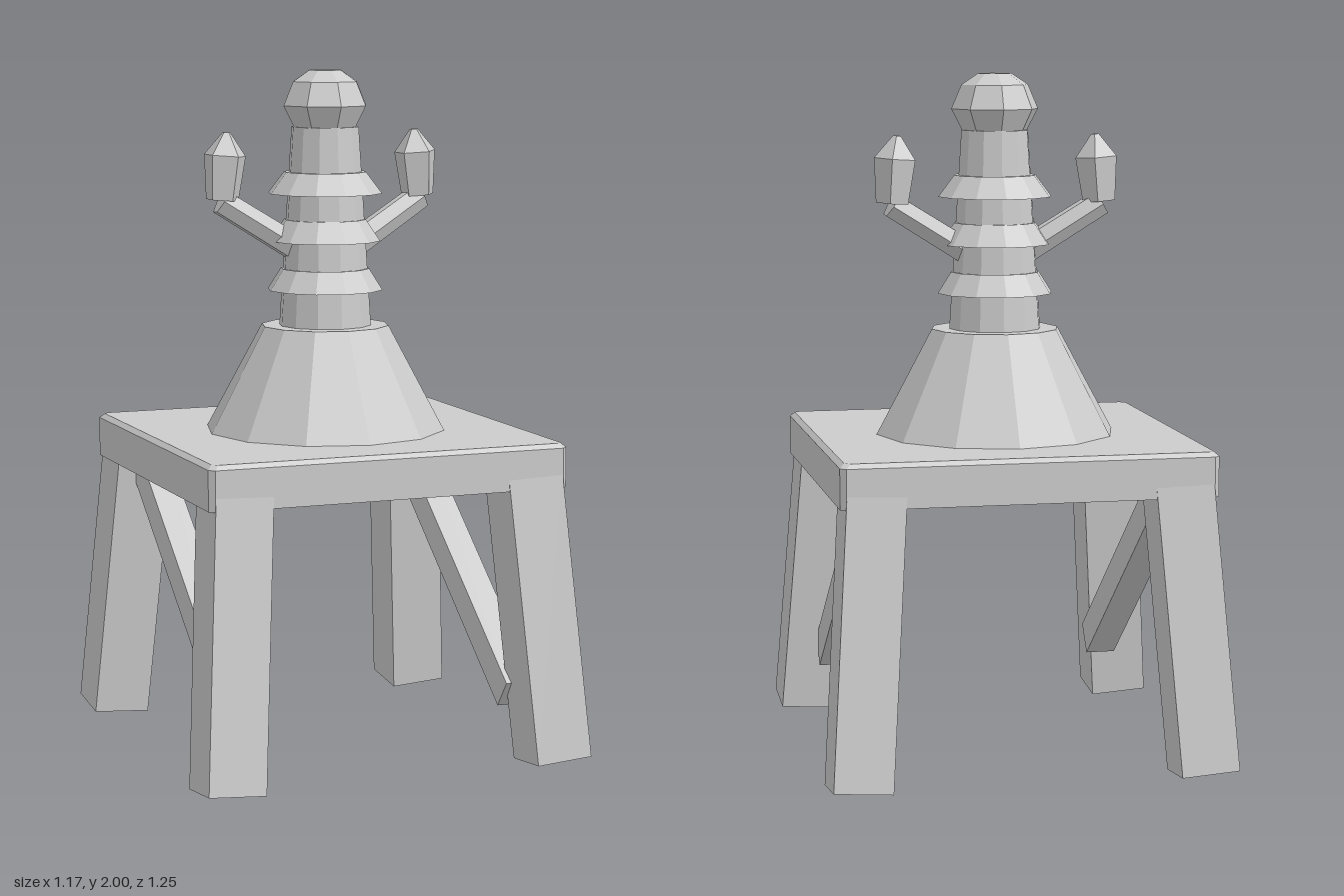
import * as THREE from 'three';

export function createModel() {
  const model = new THREE.Group();
  model.name = 'figureOnStool';
  const grey = new THREE.MeshStandardMaterial({ color: 0xcccccc });
  grey.name = 'plain grey';
  grey.flatShading = true;

  const add = (name, geometry, parent = model) => {
    const mesh = new THREE.Mesh(geometry, grey);
    mesh.name = name;
    parent.add(mesh);
    return mesh;
  };
  const lathe = (profile, sides) =>
    new THREE.LatheGeometry(profile.map(([r, y]) => new THREE.Vector2(r, y)), sides);
  // Aim a part's own y axis from point a to point b
  const span = (mesh, a, b) => {
    mesh.position.copy(a).lerp(b, 0.5);
    mesh.quaternion.setFromUnitVectors(new THREE.Vector3(0, 1, 0), b.clone().sub(a).normalize());
  };
  const v = (x, y, z) => new THREE.Vector3(x, y, z);

  // Seat: chamfered square slab with a bevelled top edge
  const w = 0.546, d = 0.532, c = 0.016;
  const outline = new THREE.Shape([
    [-w + c, -d], [w - c, -d], [w, -d + c], [w, d - c],
    [w - c, d], [-w + c, d], [-w, d - c], [-w, -d + c],
  ].map(([x, y]) => new THREE.Vector2(x, y)));
  const slab = new THREE.ExtrudeGeometry(outline, { depth: 0.13, steps: 2, bevelEnabled: false });
  const p = slab.attributes.position;
  for (let i = 0; i < p.count; i++) {
    const z = p.getZ(i);
    if (z > 0.1) p.setXY(i, p.getX(i) * 0.975, p.getY(i) * 0.975);
    else if (z > 0.03) p.setZ(i, 0.117);
  }
  slab.rotateX(-Math.PI / 2);
  slab.computeVertexNormals();
  add('seat', slab).position.y = 0.81;

  // Splayed legs
  for (const sx of [-1, 1]) for (const sz of [-1, 1]) {
    const foot = v(sx * 0.502, 0.015, sz * 0.541), top = v(sx * 0.443, 0.85, sz * 0.446);
    span(add('leg', new THREE.BoxGeometry(0.17, foot.distanceTo(top), 0.17)), foot, top);
  }

  // Diagonal side braces, low at the front and high at the back
  for (const sx of [-1, 1]) {
    const low = v(sx * 0.43, 0.19, 0.44), high = v(sx * 0.43, 0.8, -0.368);
    span(add('brace', new THREE.BoxGeometry(0.09, low.distanceTo(high), 0.1)), low, high);
  }

  // Skirt and tapering body
  add('skirt', lathe([[0, 0.935], [0.36, 0.935], [0.19, 1.25], [0, 1.25]], 12));
  add('body', lathe([[0, 1.24], [0.138, 1.24], [0.1, 1.835], [0, 1.835]], 12));

  // Flared collars around the body
  for (const [y, low, high] of [[1.355, 0.172, 0.132], [1.5, 0.165, 0.122], [1.64, 0.17, 0.122]])
    add('collar', lathe([[0, y], [low, y], [high, y + 0.063], [0, y + 0.063]], 12));

  // Head
  add('head', lathe([[0, 1.83], [0.095, 1.83], [0.13, 1.897], [0.1, 1.967], [0.05, 2], [0, 2]], 8));

  // Raised arms with bud-shaped hands
  for (const sx of [-1, 1]) {
    const arm = new THREE.Group();
    arm.name = sx > 0 ? 'leftArm' : 'rightArm';
    model.add(arm);
    const root = v(sx * 0.09, 1.48, -0.01), wrist = v(sx * 0.315, 1.62, -0.03);
    span(add('forearm', new THREE.CylinderGeometry(0.04, 0.042, root.distanceTo(wrist), 6), arm), root, wrist);
    const hand = add('hand', lathe([[0, 0], [0.05, 0], [0.064, 0.13], [0.012, 0.197], [0, 0.197]], 5), arm);
    hand.geometry.rotateY(Math.PI / 2);
    hand.position.set(sx * 0.31, 1.625, -0.03);
    hand.rotation.z = sx * 0.07;
  }
  return model;
}
